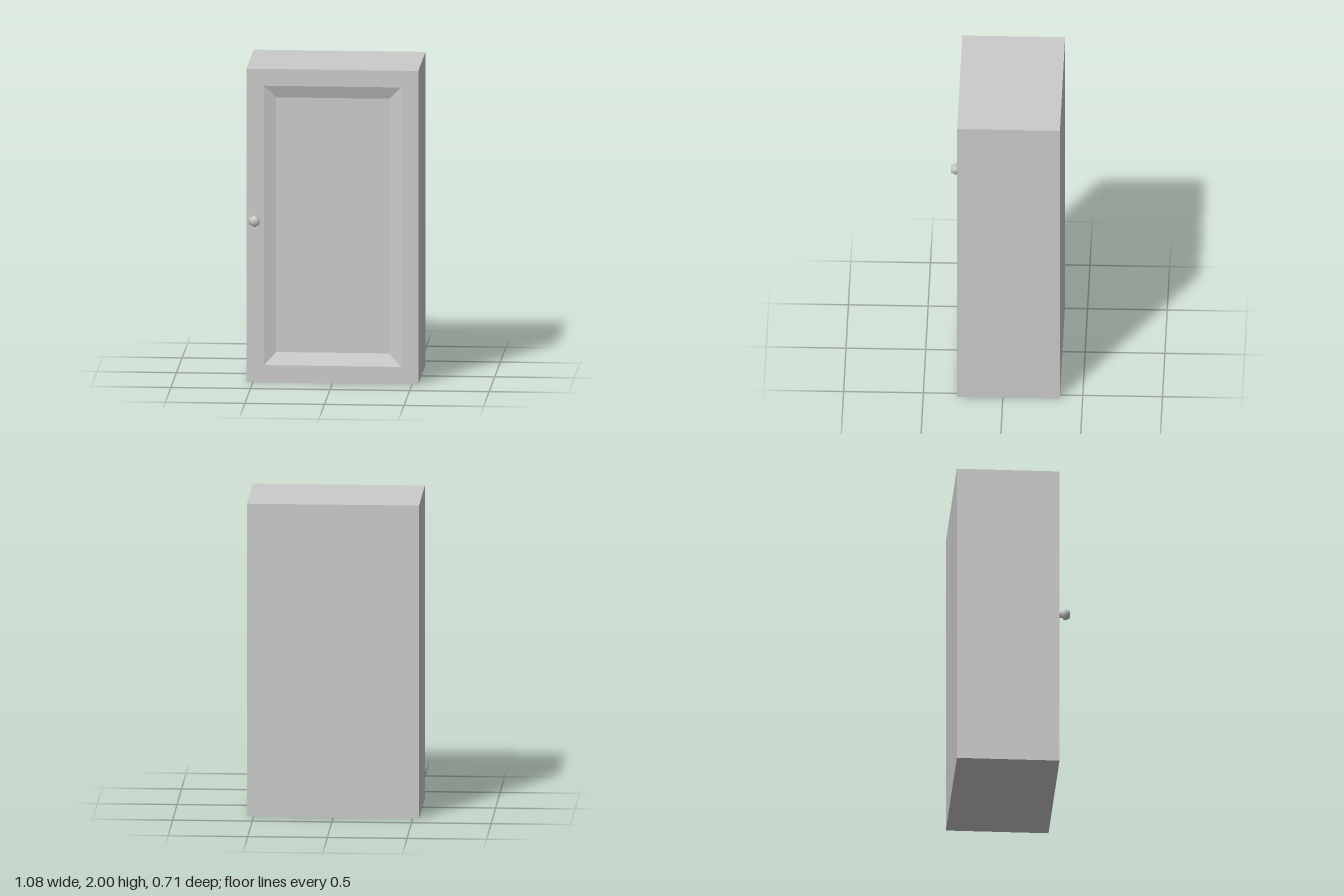
import * as THREE from 'three';

const material = new THREE.MeshStandardMaterial({ color: 0xcccccc });

// Flat-shaded solid through rectangular loops, ordered back to front.
// Each loop is [halfWidth, bottom, top, z].
function rectLoft(loops) {
  const positions = [];
  const rings = loops.map(([w, y0, y1, z]) => [[-w, y0, z], [w, y0, z], [w, y1, z], [-w, y1, z]]);
  const quad = (a, b, c, d) => positions.push(...a, ...b, ...c, ...a, ...c, ...d);
  for (let r = 0; r < rings.length - 1; r++) {
    const a = rings[r], b = rings[r + 1];
    for (let i = 0; i < 4; i++) {
      const j = (i + 1) % 4;
      quad(a[i], a[j], b[j], b[i]);
    }
  }
  const [p, q, s, t] = rings[0];
  quad(t, s, q, p);
  quad(...rings[rings.length - 1]);
  const geometry = new THREE.BufferGeometry();
  geometry.setAttribute('position', new THREE.Float32BufferAttribute(positions, 3));
  geometry.computeVertexNormals();
  return geometry;
}

export function createModel() {
  const group = new THREE.Group();
  group.name = 'wallCabinet';

  // Closed box whose front has a sloped border around a recessed panel
  const cabinet = new THREE.Mesh(rectLoft([
    [0.54, 0, 2, -0.358],
    [0.54, 0, 2, 0.287],
    [0.43, 0.11, 1.893, 0.287],
    [0.355, 0.19, 1.815, 0.26],
  ]), material);
  cabinet.name = 'cabinetWithPanelDoor';
  group.add(cabinet);

  // Six-sided door knob: stem, then a rounded head
  const profile = [
    [0.025, 0], [0.025, 0.021], [0.037, 0.029], [0.038, 0.047], [0.024, 0.069], [0, 0.069],
  ].map(([r, y]) => new THREE.Vector2(r, y));
  const knob = new THREE.Mesh(new THREE.LatheGeometry(profile, 6).rotateX(Math.PI / 2), material);
  knob.name = 'doorKnob';
  knob.position.set(-0.487, 1.036, 0.287);
  group.add(knob);

  return group;
}
